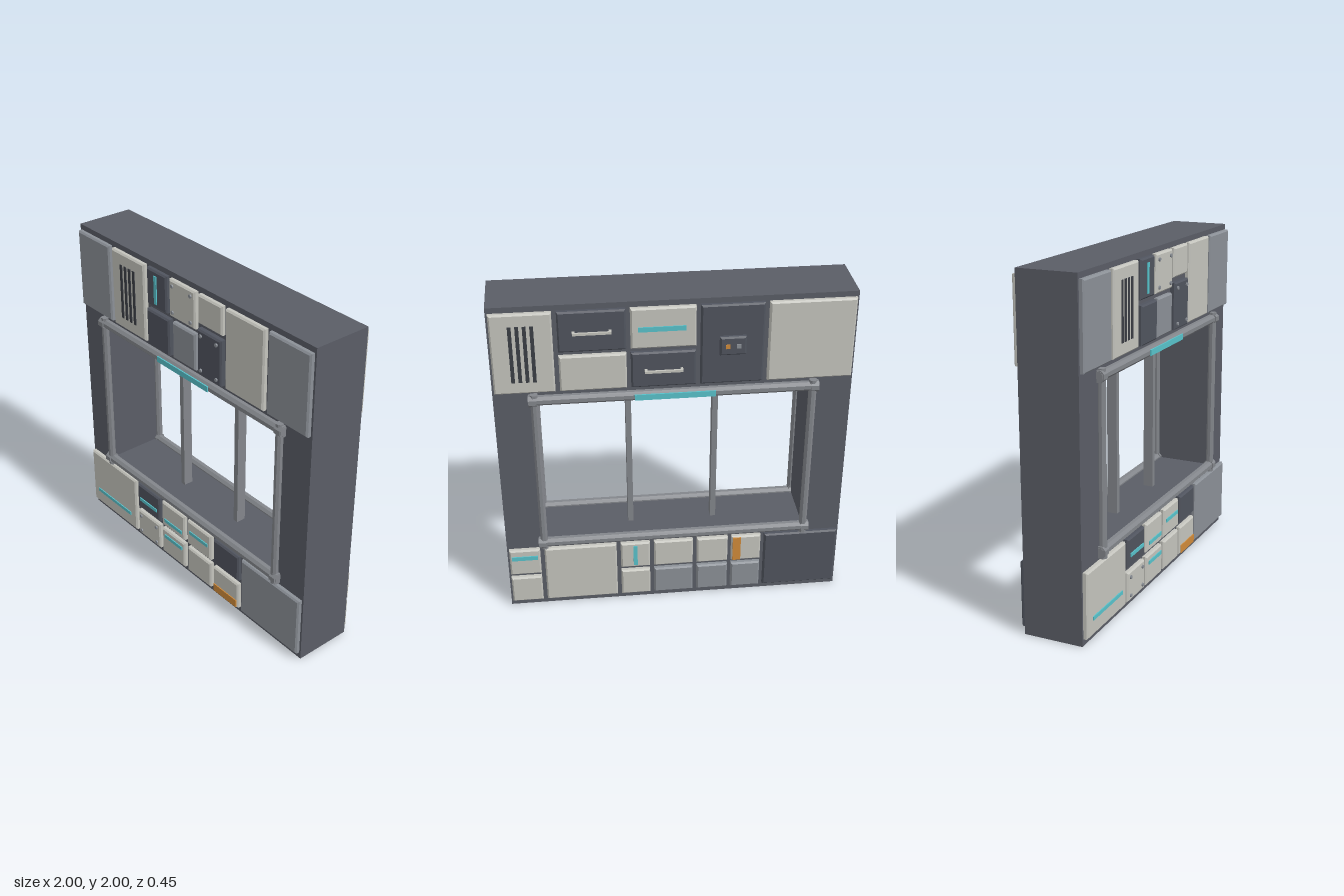
import * as THREE from 'three';

const mat = (name, color) => {
  const m = new THREE.MeshStandardMaterial({ color });
  m.name = name;
  return m;
};

export function createModel() {
  const M = {
    wall: mat('wallGrey', 0x5a5d66),
    dark: mat('darkPanel', 0x50545e),
    grey: mat('midPanel', 0x8b9097),
    light: mat('lightPanel', 0xc4c4bd),
    frame: mat('frameMetal', 0x83868b),
    slot: mat('slotDark', 0x3b3e45),
    cyan: mat('cyanLight', 0x58c2cb),
    orange: mat('orangeMark', 0xcf8a3a),
  };

  const add = (parent, name, geo, material, x = 0, y = 0, z = 0) => {
    const mesh = new THREE.Mesh(geo, material);
    mesh.name = name;
    mesh.position.set(x, y, z);
    parent.add(mesh);
    return mesh;
  };
  const rect = (Type, x0, x1, y0, y1) => {
    const s = new Type();
    s.moveTo(x0, y0);
    s.lineTo(x1, y0);
    s.lineTo(x1, y1);
    s.lineTo(x0, y1);
    s.closePath();
    return s;
  };

  const model = new THREE.Group();
  model.name = 'windowWall';

  // Thick wall with the window opening
  const wallShape = rect(THREE.Shape, -1, 1, 0, 2);
  wallShape.holes.push(rect(THREE.Path, -0.775, 0.775, 0.47, 1.43));
  add(model, 'wall', new THREE.ExtrudeGeometry(wallShape, { depth: 0.35, bevelEnabled: false }), M.wall, 0, 0, -0.17);

  // Two upright bars inside the opening
  for (const x of [-0.25, 0.25])
    add(model, 'mullion', new THREE.BoxGeometry(0.032, 0.96, 0.06), M.frame, x, 0.95, 0);

  // Chamfered panel standing on the wall plane (local z = 0)
  const panelGeometry = (w, h, t) => {
    const b = 0.009;
    const g = new THREE.ExtrudeGeometry(rect(THREE.Shape, -w / 2 + b, w / 2 - b, -h / 2 + b, h / 2 - b),
      { depth: t - b, bevelEnabled: true, bevelSize: b, bevelThickness: b, bevelSegments: 1 });
    return g;
  };

  // Each spec: [colour, x0, x1, y0, y1, details]
  const buildSide = (name, z, flip, specs) => {
    const side = new THREE.Group();
    side.name = name;
    side.position.z = z;
    if (flip < 0) side.rotation.y = Math.PI;
    model.add(side);

    for (const [color, x0, x1, y0, y1, d = {}] of specs) {
      const t = d.thick || 0.028;
      const cx = (x0 + x1) / 2, cy = (y0 + y1) / 2;
      const w = x1 - x0, h = y1 - y0;
      add(side, color + 'Panel', panelGeometry(w, h, t), M[color], flip * cx, cy, 0);

      // Painted strips: [colour, x0, x1, y0, y1]
      if (d.strip) {
        const [c, a, b, e, f] = d.strip;
        add(side, c + 'Strip', new THREE.BoxGeometry(b - a, f - e, 0.008), M[c],
          flip * (a + b) / 2, (e + f) / 2, t + 0.002);
      }
      // Corner bolts
      if (d.bolts)
        for (const sx of [-1, 1]) for (const sy of [-1, 1]) {
          const bolt = add(side, 'bolt', new THREE.CylinderGeometry(0.011, 0.011, 0.01, 8), M.grey,
            flip * cx + sx * (w / 2 - 0.033), cy + sy * (h / 2 - 0.033), t + 0.003);
          bolt.rotation.x = Math.PI / 2;
        }
      // Four vent slots
      if (d.vents)
        for (let i = 0; i < 4; i++)
          add(side, 'ventSlot', new THREE.BoxGeometry(0.02, 0.335, 0.006), M.slot,
            flip * cx + (i - 1.5) * 0.039, cy, t + 0.001);
      // Grab handle on two short feet
      if (d.handle) {
        add(side, 'handle', new THREE.BoxGeometry(0.21, 0.014, 0.012), M.light, flip * cx, cy, t + 0.024);
        for (const s of [-1, 1])
          add(side, 'handleFoot', new THREE.BoxGeometry(0.014, 0.014, 0.025), M.light, flip * cx + s * 0.098, cy, t + 0.011);
      }
      // Small switch box with two buttons
      if (d.box) {
        add(side, 'switchBox', panelGeometry(0.145, 0.11, 0.024), M.dark, flip * cx, cy, t);
        add(side, 'orangeButton', new THREE.BoxGeometry(0.024, 0.024, 0.008), M.orange, flip * cx - 0.03, cy, t + 0.026);
        add(side, 'greyButton', new THREE.BoxGeometry(0.024, 0.024, 0.008), M.grey, flip * cx + 0.03, cy, t + 0.026);
      }
    }

    // Window frame: octagonal rails, posts and corner collars
    const tube = (n, r, len, x, y, alongX, tz) => {
      const g = new THREE.CylinderGeometry(r, r, len, 8).toNonIndexed();
      g.rotateY(Math.PI / 8);
      if (alongX) g.rotateZ(Math.PI / 2);
      g.computeVertexNormals();
      add(side, n, g, M.frame, x, y, tz);
    };
    for (const y of [0.467, 1.437]) {
      tube('frameRail', 0.029, 1.62, 0, y, true, 0.01);
      for (const s of [-1, 1]) tube('frameCollar', 0.036, 0.045, s * 0.785, y, true, 0.011);
    }
    for (const s of [-1, 1]) tube('framePost', 0.023, 1.05, s * 0.776, 0.952, false, 0.014);
    add(side, 'lintelLight', new THREE.BoxGeometry(0.45, 0.034, 0.008), M.cyan, 0, 1.437, 0.04);
  };

  const T0 = 1.492, T1 = 1.968, B0 = 0.04, B1 = 0.422;

  buildSide('frontFace', 0.18, 1, [
    // Upper row
    ['grey', -0.988, -0.682, T0, T1],
    ['light', -0.655, -0.35, T0, T1, { vents: true }],
    ['dark', -0.323, -0.147, 1.745, T1, { strip: ['cyan', -0.251, -0.229, 1.77, 1.94] }],
    ['light', -0.122, 0.101, 1.745, T1, { bolts: true }],
    ['light', 0.127, 0.325, 1.797, T1],
    ['dark', -0.323, -0.122, T0, 1.717, { thick: 0.034 }],
    ['grey', -0.097, 0.101, T0, 1.717],
    ['dark', 0.127, 0.325, T0, 1.768, { bolts: true, thick: 0.034 }],
    ['light', 0.352, 0.655, T0, T1],
    ['grey', 0.682, 0.988, T0, T1],
    // Lower row
    ['light', -0.988, -0.517, B0, B1, { strip: ['cyan', -0.93, -0.573, 0.13, 0.152] }],
    ['dark', -0.492, -0.268, 0.247, B1, { strip: ['cyan', -0.463, -0.292, 0.309, 0.331] }],
    ['light', -0.243, -0.02, 0.247, B1, { strip: ['cyan', -0.211, -0.04, 0.286, 0.308] }],
    ['light', 0.01, 0.23, 0.247, B1, { strip: ['cyan', 0.035, 0.206, 0.335, 0.357] }],
    ['dark', 0.257, 0.482, 0.247, B1],
    ['light', -0.492, -0.268, B0, 0.219, { bolts: true }],
    ['light', -0.243, -0.02, B0, 0.219, { strip: ['cyan', -0.211, -0.04, 0.163, 0.186] }],
    ['light', 0.01, 0.23, B0, 0.219],
    ['light', 0.257, 0.482, B0, 0.219, { strip: ['orange', 0.266, 0.473, 0.047, 0.098] }],
    ['grey', 0.508, 0.988, B0, B1],
  ]);

  buildSide('backFace', -0.17, -1, [
    // Upper row
    ['light', 0.655, 0.988, T0, T1, { vents: true }],
    ['dark', 0.264, 0.63, 1.73, T1, { handle: true }],
    ['light', 0.264, 0.63, T0, 1.705],
    ['light', -0.115, 0.24, 1.73, T1, { strip: ['cyan', -0.06, 0.2, 1.832, 1.86] }],
    ['dark', -0.115, 0.24, T0, 1.705, { handle: true }],
    ['dark', -0.487, -0.14, T0, T1, { box: true }],
    ['light', -0.988, -0.512, T0, T1],
    // Lower row
    ['light', 0.805, 0.988, 0.244, B1, { strip: ['cyan', 0.82, 0.975, 0.353, 0.38] }],
    ['light', 0.805, 0.988, B0, 0.219],
    ['light', 0.35, 0.78, B0, B1],
    ['light', 0.15, 0.325, 0.244, B1, { strip: ['cyan', 0.226, 0.25, 0.263, 0.403] }],
    ['light', 0.15, 0.325, B0, 0.219],
    ['light', -0.11, 0.125, 0.244, B1],
    ['grey', -0.11, 0.125, B0, 0.219],
    ['light', -0.322, -0.135, 0.244, B1],
    ['grey', -0.322, -0.135, B0, 0.219],
    ['light', -0.522, -0.345, 0.244, B1, { strip: ['orange', -0.4, -0.352, 0.251, 0.415] }],
    ['grey', -0.522, -0.345, B0, 0.219],
    ['dark', -0.988, -0.545, B0, B1],
  ]);

  return model;
}
